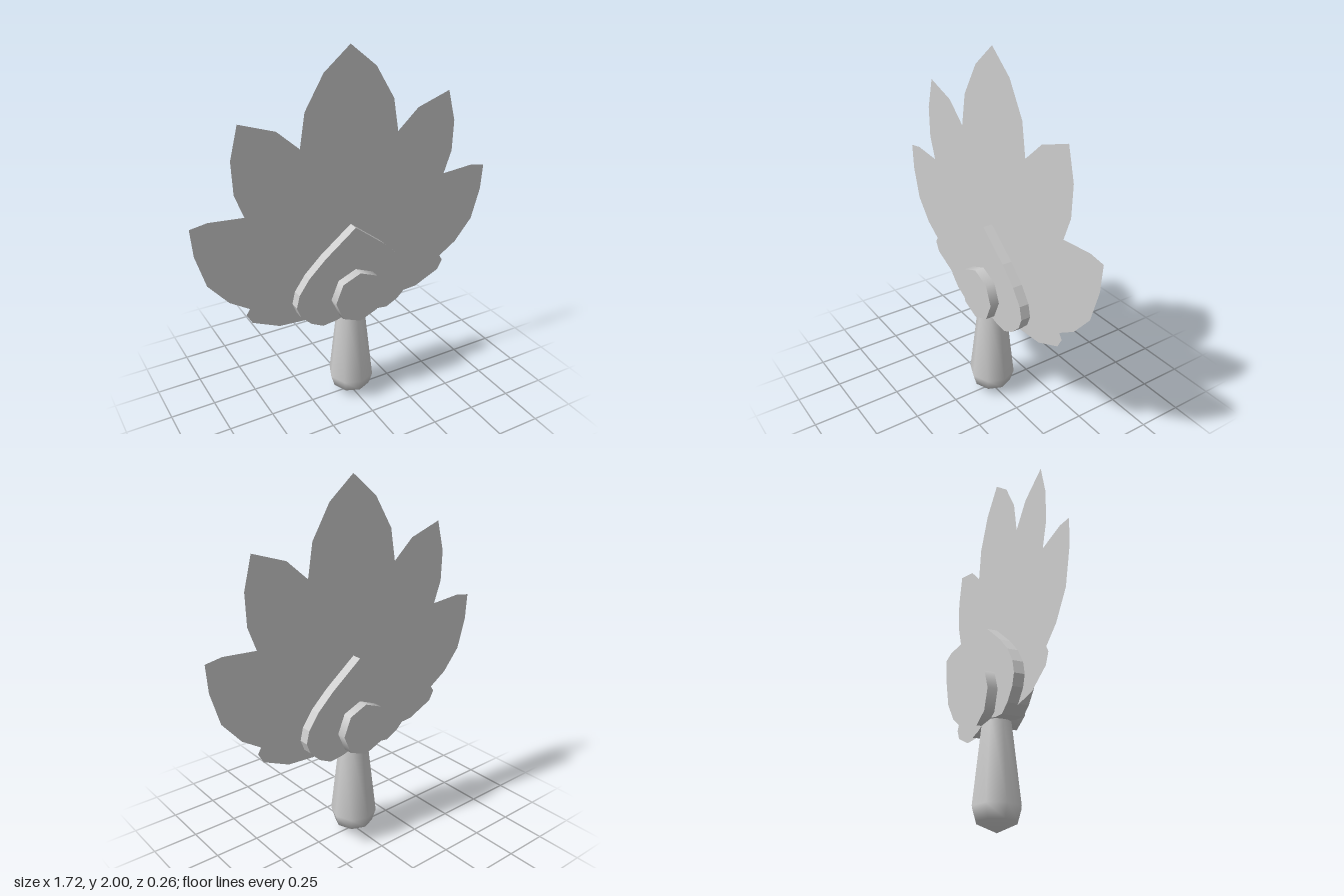
import * as THREE from 'three';

// Closed shape from its right half, listed from top centre to bottom centre
function mirroredShape(half) {
  const left = half.slice(1, -1).reverse().map(([x, y]) => [-x, y]);
  return new THREE.Shape([...half, ...left].map(([x, y]) => new THREE.Vector2(x, y)));
}

export function createModel() {
  const group = new THREE.Group();
  const grey = new THREE.MeshStandardMaterial({ color: 0xcccccc });
  grey.name = 'light grey';
  const greyThin = new THREE.MeshStandardMaterial({ color: 0xcccccc, side: THREE.DoubleSide });
  greyThin.name = 'light grey sheet';

  const add = (name, geometry, material = grey) => {
    const mesh = new THREE.Mesh(geometry, material);
    mesh.name = name;
    group.add(mesh);
    return mesh;
  };

  // Flat lobed leaf blade
  add('leafBlade', new THREE.ShapeGeometry(mirroredShape([
    [0, 2], [0.145, 1.88], [0.25, 1.705], [0.28, 1.527], [0.4, 1.635], [0.59, 1.7],
    [0.635, 1.53], [0.63, 1.36], [0.585, 1.235], [0.77, 1.25], [0.86, 1.235],
    [0.85, 1.09], [0.8, 0.915], [0.695, 0.79], [0.59, 0.722], [0.61, 0.69],
    [0.58, 0.635], [0.43, 0.567], [0.27, 0.555], [0, 0.6],
  ])), greyThin);

  // Teardrop plate across the base of the blade
  const plate = new THREE.ExtrudeGeometry(mirroredShape([
    [0, 1.065], [0.18, 0.925], [0.275, 0.835], [0.335, 0.75], [0.352, 0.68],
    [0.33, 0.62], [0.27, 0.56], [0.2, 0.525], [0.12, 0.535], [0, 0.57],
  ]), { depth: 0.11, bevelEnabled: false });
  plate.translate(0, 0, -0.055);
  add('teardropPlate', plate);

  // Eight-sided hub through the plate
  const hub = new THREE.CylinderGeometry(0.148, 0.148, 0.216, 8);
  hub.rotateX(Math.PI / 2);
  add('hub', hub).position.y = 0.672;

  // Flared handle with a blunt point at the bottom
  const profile = [[0, 0.005], [0.107, 0.055], [0.128, 0.125], [0.079, 0.55], [0.072, 0.62], [0, 0.64]];
  add('handle', new THREE.LatheGeometry(profile.map(([r, y]) => new THREE.Vector2(r, y)), 8));

  return group;
}
